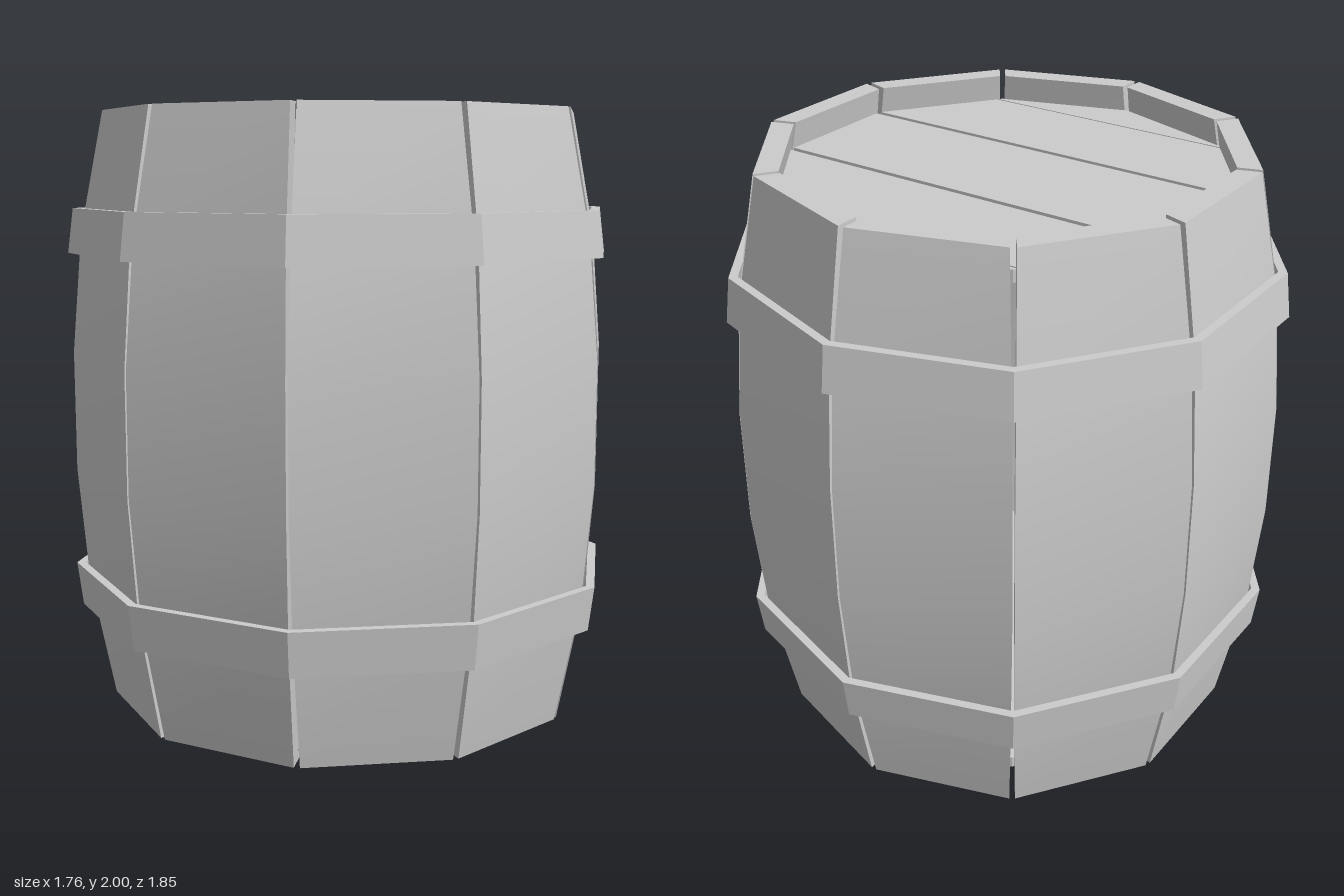
import * as THREE from 'three';
import { toCreasedNormals } from 'three/addons/utils/BufferGeometryUtils.js';

const SIDES = 10;
const STEP = (Math.PI * 2) / SIDES;
const COS = Math.cos(STEP / 2);
const TAN = Math.tan(STEP / 2);

// Height, outer apothem and half gap of a stave at each level
const LEVELS = [
  [0, 0.765, 0.01], [0.4, 0.84, 0.007], [0.8, 0.872, 0.004],
  [1.2, 0.872, 0.004], [1.6, 0.84, 0.007], [2, 0.765, 0.01],
];
const THICKNESS = 0.075;

// One curved plank facing +z, skinned over rectangular cross-sections
function staveGeometry() {
  const pos = [], index = [];
  for (const [y, a, gap] of LEVELS) {
    const b = a - THICKNESS;
    const wo = a * TAN - gap, wi = b * TAN - gap;
    pos.push(-wo, y, a, wo, y, a, wi, y, b, -wi, y, b);
  }
  const last = (LEVELS.length - 1) * 4;
  for (let r = 0; r < last; r += 4) {
    for (let i = 0; i < 4; i++) {
      const j = (i + 1) % 4;
      index.push(r + i, r + j, r + 4 + j, r + i, r + 4 + j, r + 4 + i);
    }
  }
  index.push(0, 2, 1, 0, 3, 2, last, last + 1, last + 2, last, last + 2, last + 3);
  const geo = new THREE.BufferGeometry();
  geo.setAttribute('position', new THREE.Float32BufferAttribute(pos, 3));
  geo.setIndex(index);
  return toCreasedNormals(geo, Math.PI / 6);
}

// Ten-sided band with a slanted rectangular section
function hoopGeometry() {
  const section = [[0.88, 0], [0.862, 0.148], [0.834, 0.148], [0.852, 0], [0.88, 0]];
  return new THREE.LatheGeometry(
    section.map(([a, y]) => new THREE.Vector2(a / COS, y)), SIDES);
}

// Half width of the ten-sided lid at depth z
function halfWidth(z, radius) {
  const d = Math.abs(z);
  for (let k = 0; k < 3; k++) {
    const z0 = radius * Math.cos(k * STEP), z1 = radius * Math.cos((k + 1) * STEP);
    if (d <= z0 && d >= z1) {
      const t = (z0 - d) / (z0 - z1);
      return radius * THREE.MathUtils.lerp(Math.sin(k * STEP), Math.sin((k + 1) * STEP), t);
    }
  }
  return 0;
}

// Lid board: the slice of the ten-sided outline between two depths
function boardGeometry(from, to, radius, depth) {
  const corners = [-2, -1, 1, 2].map((k) => Math.sign(k) * radius * Math.cos((3 - Math.abs(k)) * STEP));
  const cuts = [from, ...corners.filter((z) => z > from + 0.001 && z < to - 0.001), to];
  const right = cuts.map((z) => new THREE.Vector2(halfWidth(z, radius), z));
  const left = cuts.map((z) => new THREE.Vector2(-halfWidth(z, radius), z)).reverse();
  const outline = [...right, ...left].filter((p, i, all) => i === 0 || p.distanceTo(all[i - 1]) > 1e-5);
  const geo = new THREE.ExtrudeGeometry(new THREE.Shape(outline), { depth, bevelEnabled: false });
  return geo.rotateX(-Math.PI / 2);
}

export function createModel() {
  const group = new THREE.Group();
  group.name = 'barrel';
  const smooth = new THREE.MeshStandardMaterial({ color: 0xcccccc });
  const flat = new THREE.MeshStandardMaterial({ color: 0xcccccc, flatShading: true });

  const add = (parent, name, geometry, material) => {
    const mesh = new THREE.Mesh(geometry, material);
    mesh.name = name;
    parent.add(mesh);
    return mesh;
  };

  // Staves, with a seam at the front
  const staves = new THREE.Group();
  staves.name = 'staves';
  group.add(staves);
  const stave = staveGeometry();
  for (let i = 0; i < SIDES; i++) {
    add(staves, 'stave', stave, smooth).rotation.y = (i + 0.5) * STEP;
  }

  // Hoops, mirrored about mid height
  const hoop = hoopGeometry();
  add(group, 'upperHoop', hoop, flat).position.y = 1.532;
  const lower = add(group, 'lowerHoop', hoop, flat);
  lower.rotation.z = Math.PI;
  lower.position.y = 0.468;

  // Recessed lids of five boards over a thin backing
  const radius = 0.745, depth = 0.04;
  const bands = [[-radius, -0.59], [-0.584, -0.235], [-0.215, 0.215], [0.235, 0.584], [0.59, radius]];
  const makeLid = (name) => {
    const lid = new THREE.Group();
    lid.name = name;
    for (const [from, to] of bands) {
      add(lid, 'lidBoard', boardGeometry(from, to, radius, depth), flat);
    }
    add(lid, 'lidBacking', new THREE.CylinderGeometry(0.74, 0.74, 0.02, SIDES), flat).position.y = 0.01;
    group.add(lid);
    return lid;
  };
  makeLid('topLid').position.y = 1.87;
  const bottom = makeLid('bottomLid');
  bottom.rotation.z = Math.PI;
  bottom.position.y = 0.13;

  return group;
}
